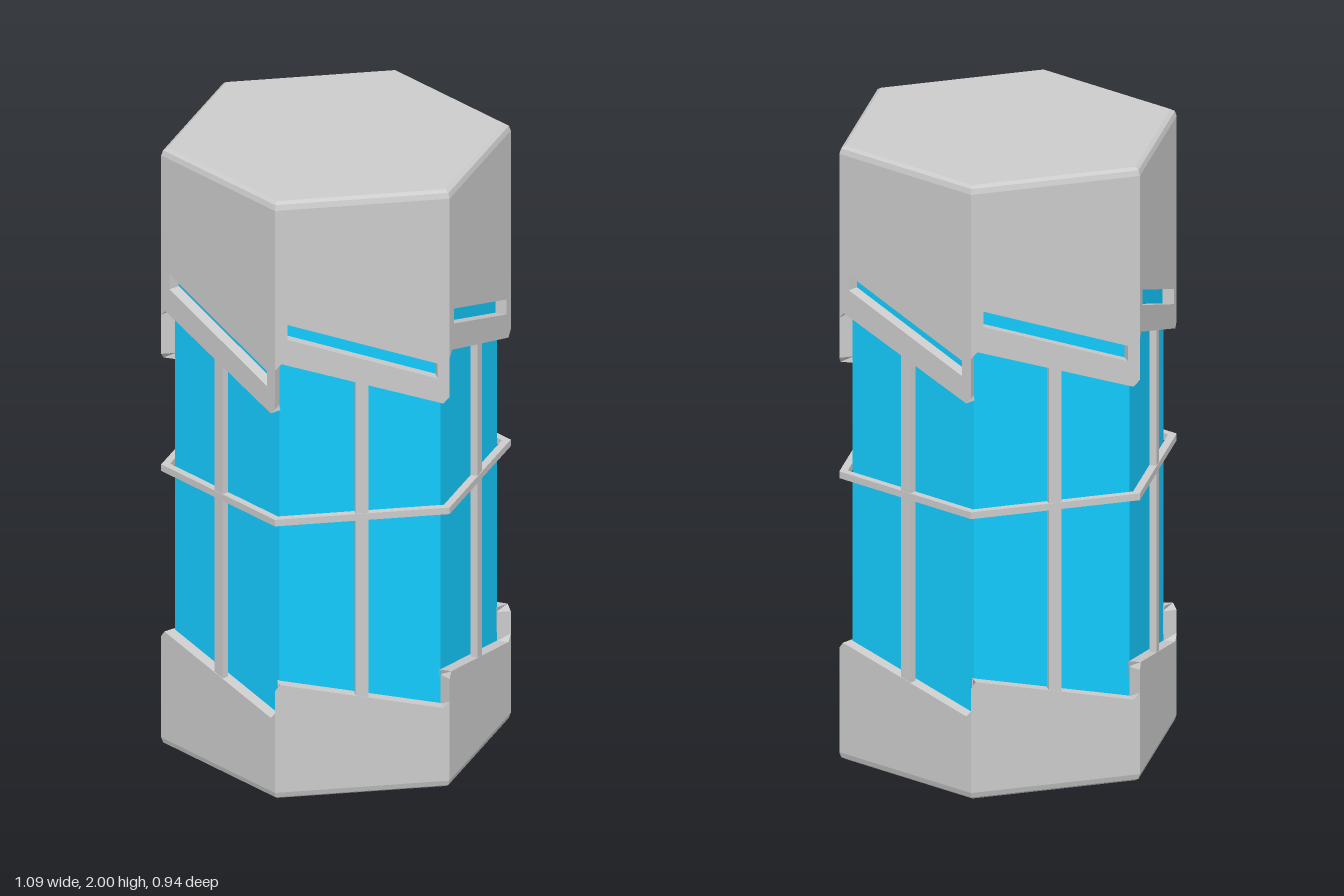
import * as THREE from 'three';

const APOTHEM = 0.47;                              // centre to outer face
const RADIUS = APOTHEM / Math.cos(Math.PI / 6);    // centre to outer corner
const HALF = RADIUS / 2;                           // half of a face's width
const WALL = 0.04;

const grey = new THREE.MeshStandardMaterial({ color: 0xcccccc, flatShading: true });
const blue = new THREE.MeshStandardMaterial({ color: 0x13cbff, flatShading: true });

const toPoints = (list) => list.map(([x, y]) => new THREE.Vector2(x, y));

// six-sided turned solid with corners on the x axis, profile from bottom to top
function hexLathe(name, profile, material) {
  const geometry = new THREE.LatheGeometry(toPoints(profile), 6).rotateY(Math.PI / 6);
  const mesh = new THREE.Mesh(geometry, material);
  mesh.name = name;
  return mesh;
}

// wall panel of one face, its ends mitred to meet the neighbouring panels
function panelGeometry(outline, slot) {
  const shape = new THREE.Shape(toPoints(outline));
  if (slot) shape.holes.push(new THREE.Path(toPoints(slot)));
  const geometry = new THREE.ExtrudeGeometry(shape, { depth: WALL, bevelEnabled: false });
  geometry.translate(0, 0, APOTHEM - WALL);
  const p = geometry.attributes.position;
  for (let i = 0; i < p.count; i++) {
    if (Math.abs(p.getX(i)) > HALF - 0.001) p.setX(i, p.getX(i) * p.getZ(i) / APOTHEM);
  }
  geometry.computeVertexNormals();
  return geometry;
}

// repeat a part on all six faces
function sixTimes(name, geometry) {
  const set = new THREE.Group();
  set.name = name + 's';
  for (let i = 0; i < 6; i++) {
    const mesh = new THREE.Mesh(geometry, grey);
    mesh.name = name;
    mesh.rotation.y = i * Math.PI / 3;
    set.add(mesh);
  }
  return set;
}

export function createModel() {
  const model = new THREE.Group();
  model.name = 'hexagonalCanister';

  // glowing core
  model.add(hexLathe('core', [[0, 0.15], [0.5, 0.15], [0.5, 1.7], [0, 1.7]], blue));

  // solid ends with bevelled rims
  model.add(hexLathe('base', [
    [0, 0], [RADIUS - 0.02, 0], [RADIUS - 0.006, 0.008], [RADIUS, 0.025], [RADIUS, 0.22], [0, 0.22],
  ], grey));
  model.add(hexLathe('cap', [
    [0, 1.65], [RADIUS, 1.65], [RADIUS, 1.975], [RADIUS - 0.006, 1.992], [RADIUS - 0.02, 2], [0, 2],
  ], grey));

  // sloping sawtooth collar of the base
  model.add(sixTimes('basePanel', panelGeometry([
    [-HALF, 0.22], [HALF, 0.22], [HALF, 0.29], [HALF - 0.02, 0.27],
    [-HALF + 0.015, 0.385], [-HALF, 0.365],
  ])));

  // sloping sawtooth collar of the cap, with a slanted slot
  model.add(sixTimes('capPanel', panelGeometry([
    [-HALF, 1.44], [-HALF + 0.02, 1.46], [HALF - 0.02, 1.29], [HALF, 1.31],
    [HALF, 1.65], [-HALF, 1.65],
  ], [
    [-0.232, 1.54], [-0.232, 1.59], [0.234, 1.425], [0.234, 1.375],
  ])));

  // cage of upright bars and one ring, standing clear of the core
  const bar = new THREE.BoxGeometry(0.04, 1.12, 0.022).translate(0, 0.84, 0.457);
  model.add(sixTimes('cageBar', bar));
  model.add(hexLathe('cageRing', [
    [0.515, 0.918], [RADIUS, 0.918], [RADIUS, 0.94], [0.515, 0.94], [0.515, 0.918],
  ], grey));

  return model;
}
